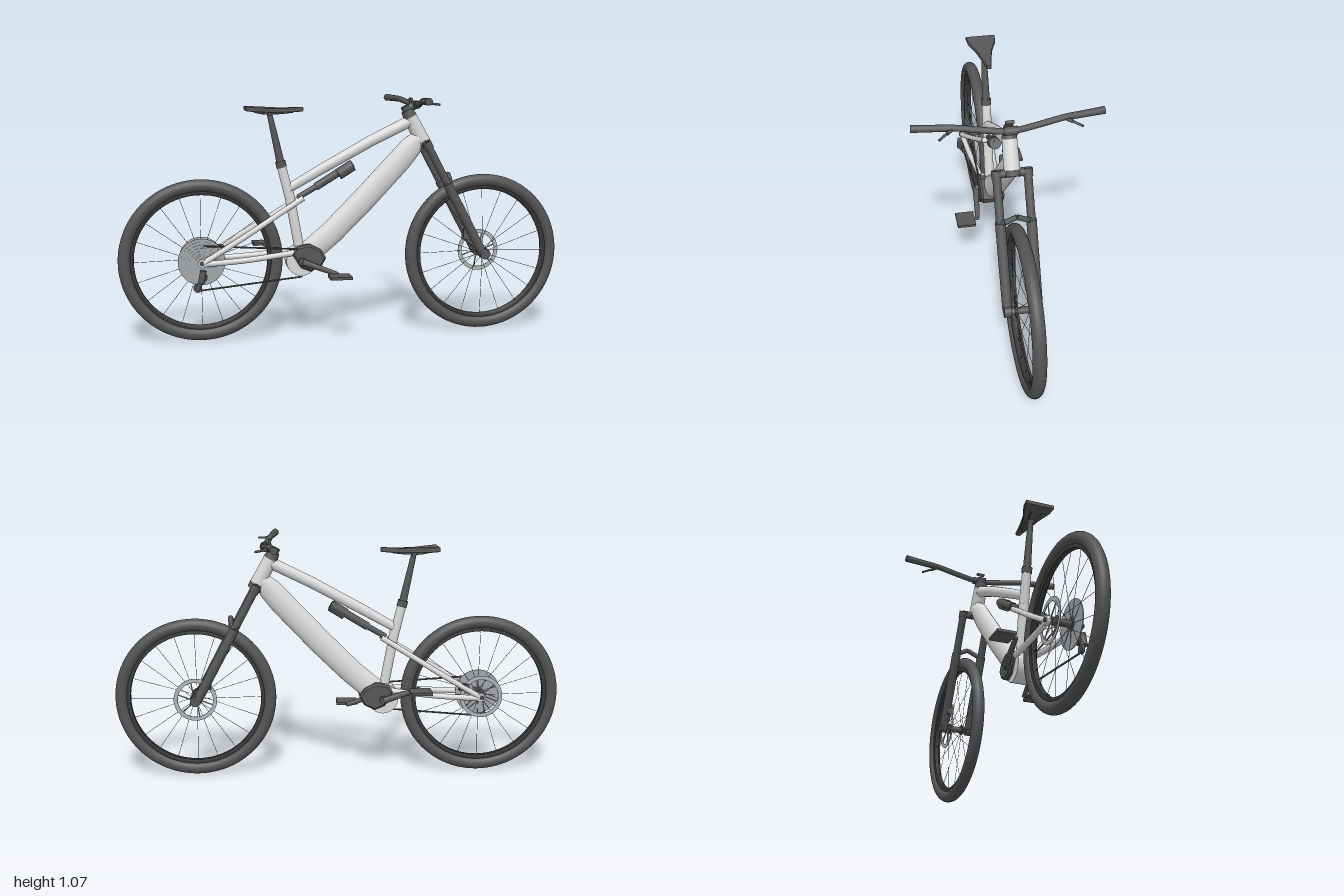
import * as THREE from 'three';

const mat = (name, color) => {
  const m = new THREE.MeshStandardMaterial({ color });
  m.name = name;
  return m;
};
const V = (x, y, z = 0) => new THREE.Vector3(x, y, z);

export function createModel() {
  const bike = new THREE.Group();
  bike.name = 'mountainBike';
  const light = mat('frameSilver', 0xdad9d9);
  const dark = mat('darkGrey', 0x565657);
  const rubber = mat('tyreRubber', 0x535354);
  const rimGrey = mat('rimGrey', 0x3c3c3d);
  rimGrey.side = THREE.DoubleSide;
  const steel = mat('cassetteSteel', 0xa1a6aa);
  const rotorSteel = mat('rotorSteel', 0xb2b3b4);

  const add = (name, geo, material, parent = bike) => {
    const m = new THREE.Mesh(geo, material);
    m.name = name;
    parent.add(m);
    return m;
  };
  // straight round bar between two points
  const rod = (name, a, b, r, material, parent = bike, r2 = r, sides = 16) => {
    const m = add(name, new THREE.CylinderGeometry(r2, r, a.distanceTo(b), sides), material, parent);
    m.position.copy(a).add(b).multiplyScalar(0.5);
    m.quaternion.setFromUnitVectors(V(0, 1, 0), b.clone().sub(a).normalize());
    return m;
  };
  // bent round bar through several points
  const pipe = (name, pts, r, material) =>
    add(name, new THREE.TubeGeometry(new THREE.CatmullRomCurve3(pts), 32, r, 12), material);
  // cylinder across the bike, from z0 to z1
  const disc = (name, x, y, z0, z1, r, material, parent = bike) =>
    rod(name, V(x, y, z0), V(x, y, z1), r, material, parent, r, 32);
  // oval tube in the mid plane; sections are [x, y, half height, half width]
  const loft = (name, sections, material) => {
    const N = 24, pos = [], idx = [];
    sections.forEach(([x, y, a, b], i) => {
      const p = sections[Math.max(i - 1, 0)], q = sections[Math.min(i + 1, sections.length - 1)];
      const l = Math.hypot(q[0] - p[0], q[1] - p[1]);
      const nx = -(q[1] - p[1]) / l, ny = (q[0] - p[0]) / l;
      for (let j = 0; j < N; j++) {
        const t = (j / N) * Math.PI * 2, c = a * Math.cos(t);
        pos.push(x + nx * c, y + ny * c, b * Math.sin(t));
        if (i < sections.length - 1) {
          const k = i * N + j, k1 = i * N + ((j + 1) % N);
          idx.push(k, k1, k1 + N, k, k1 + N, k + N);
        }
      }
    });
    const g = new THREE.BufferGeometry();
    g.setAttribute('position', new THREE.Float32BufferAttribute(pos, 3));
    g.setIndex(idx);
    g.computeVertexNormals();
    return add(name, g, material);
  };

  // wheels with tyre, rim, spokes, hub and brake rotor
  const wheel = (name, x, rotorZ) => {
    const w = new THREE.Group();
    w.name = name;
    w.position.set(x, 0.36, 0);
    bike.add(w);
    add('tyre', new THREE.TorusGeometry(0.331, 0.028, 20, 80), rubber, w);
    const rim = [[0.291, -0.011], [0.314, -0.016], [0.314, 0.016], [0.291, 0.011], [0.291, -0.011]]
      .map(([r, z]) => new THREE.Vector2(r, z)).reverse();
    add('rim', new THREE.LatheGeometry(rim, 80).rotateX(Math.PI / 2), rimGrey, w);
    for (let i = 0; i < 20; i++) {
      const t = (i / 20) * Math.PI * 2, s = i % 2 ? 1 : -1, u = t + (i % 4 < 2 ? 0.12 : -0.12);
      rod('spoke', V(0.02 * Math.cos(u), 0.02 * Math.sin(u), s * 0.03),
        V(0.295 * Math.cos(t), 0.295 * Math.sin(t), 0), 0.001, dark, w, 0.001, 5);
    }
    disc('hub', 0, 0, -0.07, 0.07, 0.015, dark, w);
    for (const s of [-1, 1]) disc('hubFlange', 0, 0, s * 0.028, s * 0.034, 0.025, dark, w);
    const ring = new THREE.Shape().absarc(0, 0, 0.096, 0, Math.PI * 2);
    ring.holes.push(new THREE.Path().absarc(0, 0, 0.078, 0, Math.PI * 2, true));
    const rotor = add('brakeRotor', new THREE.ExtrudeGeometry(ring,
      { depth: 0.003, bevelEnabled: false, curveSegments: 40 }), rotorSteel, w);
    rotor.position.z = rotorZ;
    for (let i = 0; i < 6; i++) {
      const t = (i / 6) * Math.PI * 2;
      rod('rotorArm', V(0.015 * Math.cos(t), 0.015 * Math.sin(t), rotorZ + 0.0015),
        V(0.08 * Math.cos(t + 0.3), 0.08 * Math.sin(t + 0.3), rotorZ + 0.0015), 0.003, rotorSteel, w, 0.003, 6);
    }
  };
  wheel('frontWheel', 0.64, -0.046);
  wheel('rearWheel', -0.64, -0.058);

  // main frame
  loft('downTube', [[0.345, 0.895, 0.034, 0.031], [0.305, 0.85, 0.05, 0.034], [0.25, 0.787, 0.054, 0.035],
    [0.08, 0.607, 0.055, 0.035], [-0.06, 0.468, 0.054, 0.035], [-0.17, 0.375, 0.054, 0.034]], light);
  loft('topTube', [[-0.25, 0.672, 0.02, 0.018], [-0.1, 0.757, 0.023, 0.021],
    [0.12, 0.877, 0.025, 0.025], [0.3, 0.965, 0.026, 0.027]], light);
  rod('headTube', V(0.36, 0.865), V(0.296, 0.985), 0.034, light, bike, 0.031, 24);
  rod('seatTube', V(-0.2, 0.37), V(-0.252, 0.66), 0.022, light, bike, 0.022, 20);
  rod('upperSeatTube', V(-0.247, 0.63), V(-0.285, 0.78), 0.022, light, bike, 0.02, 20);
  disc('bottomBracketShell', -0.2, 0.35, -0.036, 0.036, 0.068, light);

  // rear triangle
  for (const s of [-1, 1]) {
    pipe('seatStay', [V(-0.635, 0.36, s * 0.07), V(-0.45, 0.47, s * 0.056),
      V(-0.28, 0.575, s * 0.036), V(-0.19, 0.63, s * 0.026)], 0.0125, light);
    pipe('chainStay', [V(-0.635, 0.355, s * 0.068), V(-0.45, 0.365, s * 0.056),
      V(-0.3, 0.38, s * 0.042), V(-0.2, 0.392, s * 0.034)], 0.013, light);
    disc('rearDropout', -0.635, 0.36, s * 0.062, s * 0.077, 0.02, light);
    disc('rearAxleCap', -0.64, 0.36, s * 0.07, s * 0.084, 0.009, dark);
  }
  rod('stayBridge', V(-0.215, 0.615, -0.032), V(-0.215, 0.615, 0.032), 0.012, light);

  // rear shock with reservoir
  rod('shockShaft', V(-0.21, 0.63), V(-0.08, 0.705), 0.013, dark);
  rod('shockBody', V(-0.13, 0.676), V(0.035, 0.777), 0.018, dark);
  rod('shockReservoir', V(-0.03, 0.731, 0.012), V(0.033, 0.77, 0.012), 0.026, dark);

  // motor cover
  const cover = new THREE.Shape([[-0.245, 0.385], [-0.22, 0.415], [-0.165, 0.425], [-0.115, 0.4], [-0.092, 0.362],
    [-0.112, 0.325], [-0.16, 0.302], [-0.205, 0.32]].map(([x, y]) => new THREE.Vector2(x, y)));
  add('motorCover', new THREE.ExtrudeGeometry(cover,
    { depth: 0.09, bevelSize: 0.008, bevelOffset: -0.008, bevelThickness: 0.01, bevelSegments: 1 }), dark)
    .position.z = -0.045;
  disc('crankAxle', -0.2, 0.35, -0.07, 0.07, 0.018, dark);

  // cranks and pedals, turned half a revolution apart
  for (const s of [-1, 1]) {
    const x = -0.2 + s * 0.155, y = 0.35 - s * 0.057;
    rod('crankArm', V(-0.2, 0.35, s * 0.066), V(x, y, s * 0.083), 0.015, dark, bike, 0.01);
    disc('pedalAxle', x, y, s * 0.076, s * 0.11, 0.007, dark);
    add('pedal', new THREE.BoxGeometry(0.096, 0.012, 0.085), dark).position.set(x, y, s * 0.139);
  }

  // cassette, chain and derailleur
  for (let i = 0; i < 6; i++)
    disc('sprocket', -0.64, 0.36, 0.032 + i * 0.005, 0.036 + i * 0.005, 0.103 - i * 0.013, steel);
  disc('cassetteCore', -0.64, 0.36, 0.03, 0.064, 0.03, steel);
  rod('upperChain', V(-0.63, 0.432, 0.048), V(-0.2, 0.405, 0.05), 0.004, dark, bike, 0.004, 6);
  rod('lowerChain', V(-0.66, 0.237, 0.06), V(-0.2, 0.282, 0.05), 0.004, dark, bike, 0.004, 6);
  rod('derailleurBody', V(-0.635, 0.33, 0.08), V(-0.645, 0.275, 0.082), 0.014, dark);
  rod('derailleurCage', V(-0.64, 0.29, 0.074), V(-0.66, 0.245, 0.066), 0.01, dark);
  disc('upperPulley', -0.635, 0.295, 0.056, 0.066, 0.018, dark);
  disc('lowerPulley', -0.66, 0.25, 0.055, 0.068, 0.019, dark);

  // suspension fork
  const axis = (t, z) => V(0.357 + 0.273 * t, 0.872 - 0.512 * t, z);
  for (const s of [-1, 1]) {
    const z = s * 0.064;
    rod('forkUpperLeg', axis(0, z), axis(0.45, z), 0.0175, dark);
    rod('forkLowerLeg', axis(0.37, z), axis(1, z), 0.0215, dark, bike, 0.0205);
    disc('forkDropout', 0.637, 0.36, s * 0.05, s * 0.08, 0.024, dark);
    rod('crownClamp', axis(0, z), axis(0.06, z), 0.021, dark);
  }
  rod('forkCrown', axis(0.025, -0.07), axis(0.025, 0.07), 0.018, dark);
  rod('lowerHeadsetCup', axis(0, 0), axis(0.045, 0), 0.034, dark);
  // arch in straight segments, peaked in the middle
  for (const s of [-1, 1]) {
    rod('forkArch', V(0.452, 0.678, s * 0.078), V(0.474, 0.698, s * 0.045), 0.011, dark);
    rod('forkArchPeak', V(0.474, 0.698, s * 0.046), V(0.478, 0.722, 0), 0.011, dark);
  }
  add('frontCaliper', new THREE.BoxGeometry(0.035, 0.05, 0.028), dark).position.set(0.585, 0.435, -0.05);
  add('rearCaliper', new THREE.BoxGeometry(0.045, 0.03, 0.026), dark).position.set(-0.56, 0.405, -0.058);

  // steering: headset, stem, bar, grips and brake levers
  rod('upperHeadset', V(0.298, 0.982), V(0.282, 1.012), 0.032, dark, bike, 0.026);
  rod('stemClamp', V(0.29, 0.998), V(0.273, 1.03), 0.02, dark);
  rod('stem', V(0.28, 1.015), V(0.325, 1.036), 0.019, dark);
  rod('barClamp', V(0.325, 1.036, -0.028), V(0.325, 1.036, 0.028), 0.018, dark);
  disc('topKnob', 0.3, 1.06, -0.018, 0.018, 0.007, dark);
  rod('knobPost', V(0.298, 1.03), V(0.3, 1.058), 0.006, dark);
  pipe('handlebar', [-1, -0.62, -0.45, -0.2, 0, 0.2, 0.45, 0.62, 1].map((u) => {
    const a = Math.abs(u);
    return V(0.328 - 0.05 * a, a < 0.1 ? 1.036 : a < 0.3 ? 1.04 : a < 0.5 ? 1.051 : 1.058, u * 0.37);
  }), 0.013, dark);
  for (const s of [-1, 1]) {
    rod('grip', V(0.296, 1.057, s * 0.24), V(0.279, 1.06, s * 0.389), 0.0135, rubber, bike, 0.016);
    rod('brakeLever', V(0.3, 1.05, s * 0.232), V(0.354, 1.045, s * 0.285), 0.005, dark);
    rod('leverBody', V(0.3, 1.051, s * 0.228), V(0.32, 1.048, s * 0.25), 0.007, dark);
  }

  // saddle with post and rails
  rod('seatCollar', V(-0.281, 0.765), V(-0.288, 0.792), 0.023, dark);
  rod('seatPost', V(-0.285, 0.78), V(-0.332, 0.998), 0.018, dark, bike, 0.012);
  const half = [[-0.44, 0.066], [-0.4, 0.062], [-0.33, 0.036], [-0.25, 0.02], [-0.185, 0.01]];
  const outline = [...half, ...half.map(([x, z]) => [x, -z]).reverse()].map(([x, z]) => new THREE.Vector2(x, z));
  const seat = new THREE.ExtrudeGeometry(new THREE.Shape(outline),
    { depth: 0.01, bevelSize: 0.004, bevelOffset: -0.004, bevelThickness: 0.005, bevelSegments: 2 });
  seat.rotateX(Math.PI / 2);
  const p = seat.attributes.position;
  for (let i = 0; i < p.count; i++) p.setY(i, p.getY(i) + 1.02 + 0.4 * (p.getX(i) + 0.29) ** 2);
  seat.computeVertexNormals();
  add('saddle', seat, dark);
  for (const s of [-1, 1])
    pipe('saddleRail', [V(-0.4, 1.01, s * 0.025), V(-0.36, 1.002, s * 0.02), V(-0.3, 1.002, s * 0.016),
      V(-0.23, 1.008, s * 0.006)], 0.004, dark);
  rod('railClamp', V(-0.332, 0.999, -0.022), V(-0.332, 0.999, 0.022), 0.009, dark);

  return bike;
}
